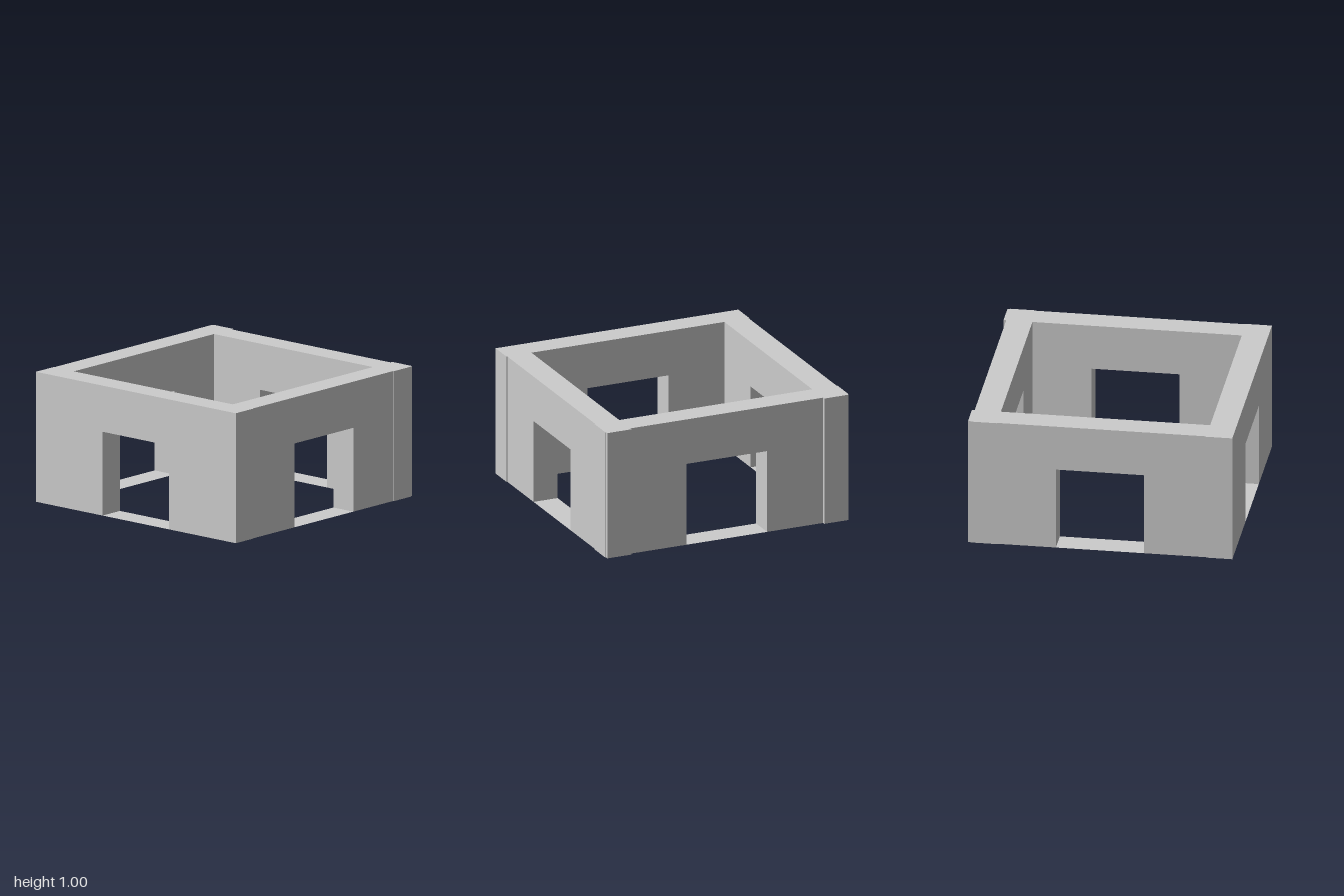
import * as THREE from 'three';

const LENGTH = 1.995, HEIGHT = 1, THICK = 0.198;
const DOOR_HALF = 0.3325, DOOR_TOP = 0.645;

// One wall with a doorway, centred on its own origin and running along x
function makeWall(name, material, sillMaterial) {
  const h = LENGTH / 2;
  const outline = new THREE.Shape();
  outline.moveTo(-h, 0);
  outline.lineTo(-DOOR_HALF, 0);
  outline.lineTo(-DOOR_HALF, DOOR_TOP);
  outline.lineTo(DOOR_HALF, DOOR_TOP);
  outline.lineTo(DOOR_HALF, 0);
  outline.lineTo(h, 0);
  outline.lineTo(h, HEIGHT);
  outline.lineTo(-h, HEIGHT);
  outline.closePath();
  const geometry = new THREE.ExtrudeGeometry(outline, { depth: THICK, bevelEnabled: false });
  geometry.translate(0, 0, -THICK / 2);

  const wall = new THREE.Group();
  wall.name = name;
  const body = new THREE.Mesh(geometry, material);
  body.name = name + 'Body';

  // Paper-thin threshold closing the foot of the doorway
  const sill = new THREE.Mesh(new THREE.PlaneGeometry(DOOR_HALF * 2, THICK), sillMaterial);
  sill.name = name + 'Threshold';
  sill.rotation.x = -Math.PI / 2;

  wall.add(body, sill);
  return wall;
}

export function createModel() {
  const model = new THREE.Group();
  model.name = 'walledRoom';
  const material = new THREE.MeshStandardMaterial({ color: 0xcccccc, flatShading: true });
  const sillMaterial = new THREE.MeshStandardMaterial({ color: 0xcccccc, side: THREE.DoubleSide });

  // Name, x, z, turn: the walls overlap at the corners with small steps
  const walls = [
    ['frontWall', 0.0025, 0.892, 0],
    ['backWall', 0.0025, -0.892, Math.PI],
    ['leftWall', 0.88, 0, Math.PI / 2],
    ['rightWall', -0.901, 0, -Math.PI / 2],
  ];
  for (const [name, x, z, turn] of walls) {
    const wall = makeWall(name, material, sillMaterial);
    wall.position.set(x, 0, z);
    wall.rotation.y = turn;
    model.add(wall);
  }
  return model;
}
